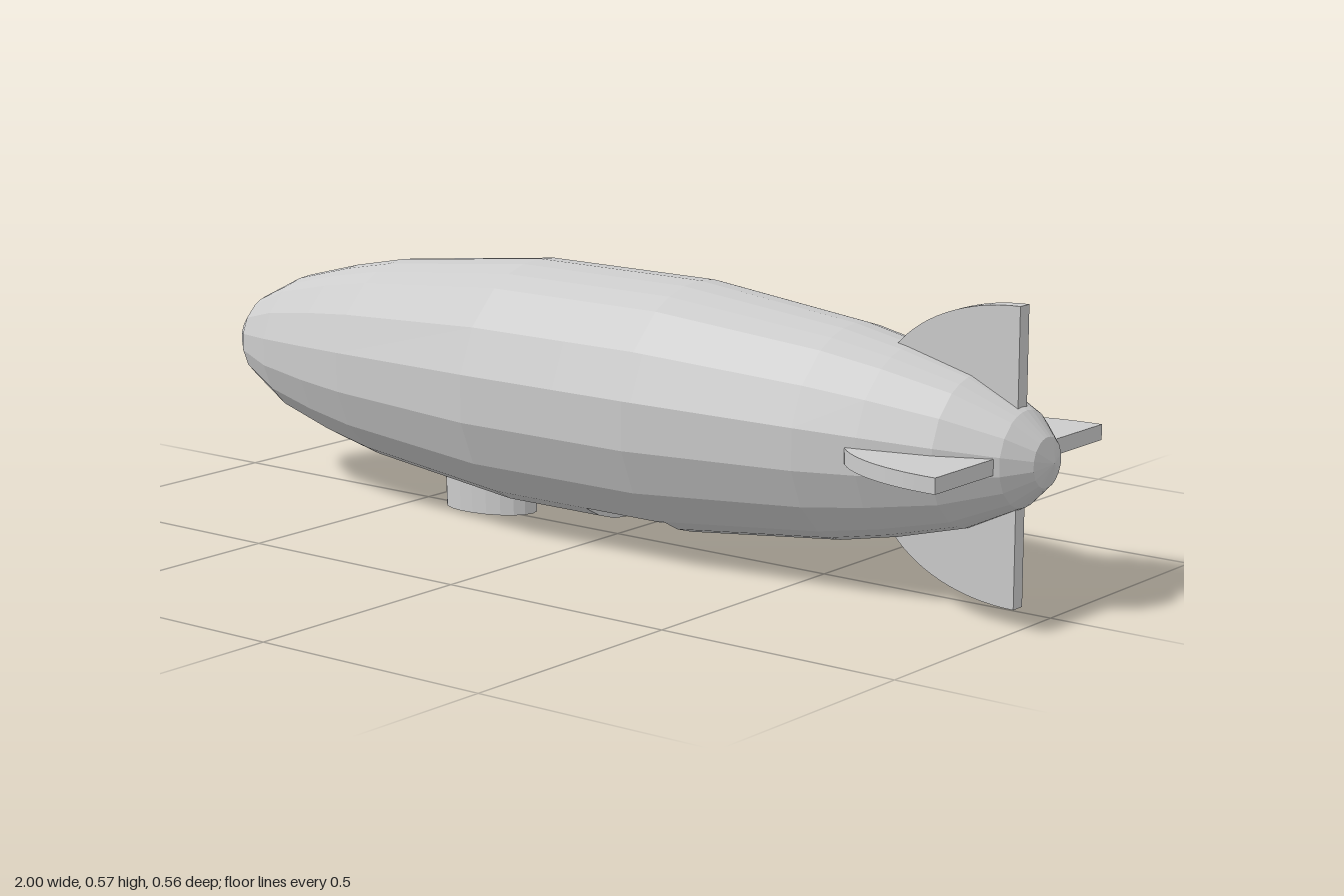
import * as THREE from 'three';

const AXIS = 0.286; // height of the hull axis
const BAY = [0.03, 0.22]; // x range of the belly bay
const BAY_TOP = 0.14;

// Hull stations: [x, radius]
const STATIONS = [
  [-1, 0], [-0.985, 0.047], [-0.94, 0.09], [-0.83, 0.143], [-0.69, 0.18], [-0.565, 0.205], [-0.2, 0.245],
  [BAY[0], 0.245], [0.2, 0.245], [BAY[1], 0.2428],
  [0.565, 0.205], [0.69, 0.18], [0.83, 0.143], [0.94, 0.09], [0.985, 0.047], [1, 0],
];

// Facet angles in degrees, finer along the top and the belly
const QUARTER = [11.25, 33.75, 56.25, 67.5, 78.75];
const ANGLES = [
  ...QUARTER, 90, ...QUARTER.map((a) => 180 - a).reverse(),
  ...QUARTER.map((a) => 180 + a), 270, ...QUARTER.map((a) => 360 - a).reverse(),
];

const rad = THREE.MathUtils.degToRad;
const grey = (side = THREE.FrontSide) =>
  new THREE.MeshStandardMaterial({ color: 0xcccccc, flatShading: true, side });

function add(parent, name, geometry, material = grey()) {
  const mesh = new THREE.Mesh(geometry, material);
  mesh.name = name;
  parent.add(mesh);
  return mesh;
}

// Faceted hull, leaving the bay open
function hullGeometry() {
  const pos = [];
  const point = ([x, r], a) => [x, AXIS + r * Math.sin(rad(a)), r * Math.cos(rad(a))];
  for (let i = 0; i < STATIONS.length - 1; i++) {
    const s = STATIONS[i], t = STATIONS[i + 1];
    for (let j = 0; j < ANGLES.length; j++) {
      const a = ANGLES[j], b = ANGLES[(j + 1) % ANGLES.length];
      const inBay = s[0] >= BAY[0] && t[0] <= BAY[1] && a > 236 && b < 304 && b > a;
      if (inBay) continue;
      const p = point(s, a), q = point(t, a), u = point(t, b), v = point(s, b);
      if (t[1] > 0) pos.push(...p, ...q, ...u);
      if (s[1] > 0) pos.push(...p, ...(t[1] > 0 ? u : q), ...v);
    }
  }
  const geo = new THREE.BufferGeometry();
  geo.setAttribute('position', new THREE.Float32BufferAttribute(pos, 3));
  geo.computeVertexNormals();
  return geo;
}

// Bay end wall: hull curve below, flat ceiling above
function bayEnd(x, r) {
  const half = r * Math.cos(rad(56.25));
  const shape = new THREE.Shape();
  shape.moveTo(-half, BAY_TOP);
  for (const a of ANGLES.filter((d) => d > 236 && d < 304)) {
    shape.lineTo(r * Math.cos(rad(a)), AXIS + r * Math.sin(rad(a)));
  }
  shape.lineTo(half, BAY_TOP);
  return new THREE.ShapeGeometry(shape).rotateY(Math.PI / 2).translate(x, 0, 0);
}

function createBay() {
  const bay = new THREE.Group();
  bay.name = 'bellyBay';
  const length = BAY[1] - BAY[0], mid = (BAY[0] + BAY[1]) / 2;
  const half = 0.245 * Math.cos(rad(56.25));
  const edge = AXIS - 0.245 * Math.sin(rad(56.25));
  const open = grey(THREE.DoubleSide);
  add(bay, 'bayFrontWall', bayEnd(BAY[0], 0.245), open);
  add(bay, 'bayRearWall', bayEnd(BAY[1], 0.2428), open);
  add(bay, 'bayCeiling', new THREE.PlaneGeometry(length, 2 * half).rotateX(Math.PI / 2), open)
    .position.set(mid, BAY_TOP, 0);
  for (const s of [-1, 1]) {
    add(bay, 'baySideWall', new THREE.PlaneGeometry(length, BAY_TOP - edge), open)
      .position.set(mid, (BAY_TOP + edge) / 2, s * half);
  }
  // Rolls stowed side by side
  for (let i = 0; i < 4; i++) {
    add(bay, 'bayRoll', new THREE.CylinderGeometry(0.032, 0.032, length, 12).rotateZ(Math.PI / 2))
      .position.set(mid, 0.118, (i - 1.5) * 0.066);
  }
  return bay;
}

// Tail fin: quarter ellipse with an upright rear edge
function finGeometry() {
  const shape = new THREE.Shape();
  shape.moveTo(0.93, 0.087);
  shape.lineTo(0.93, 0.28);
  shape.absellipse(0.93, 0.087, 0.3, 0.193, Math.PI / 2, Math.PI, false);
  shape.closePath();
  return new THREE.ExtrudeGeometry(shape, { depth: 0.03, bevelEnabled: false, curveSegments: 10 })
    .translate(0, 0, -0.015);
}

export function createModel() {
  const model = new THREE.Group();
  model.name = 'airship';
  add(model, 'hull', hullGeometry());
  model.add(createBay());

  // Four fins around the tail
  const fin = finGeometry();
  ['topFin', 'leftFin', 'bottomFin', 'rightFin'].forEach((name, i) => {
    const mesh = add(model, name, fin);
    mesh.position.y = AXIS;
    mesh.rotation.x = (i * Math.PI) / 2;
  });

  // Oval gondola, tipped slightly to follow the belly
  const gondola = add(model, 'gondola',
    new THREE.CylinderGeometry(1, 1, 0.1, 20).scale(0.11, 1, 0.06));
  gondola.position.set(-0.33, 0.054, 0);
  gondola.rotation.z = 0.035;
  return model;
}
